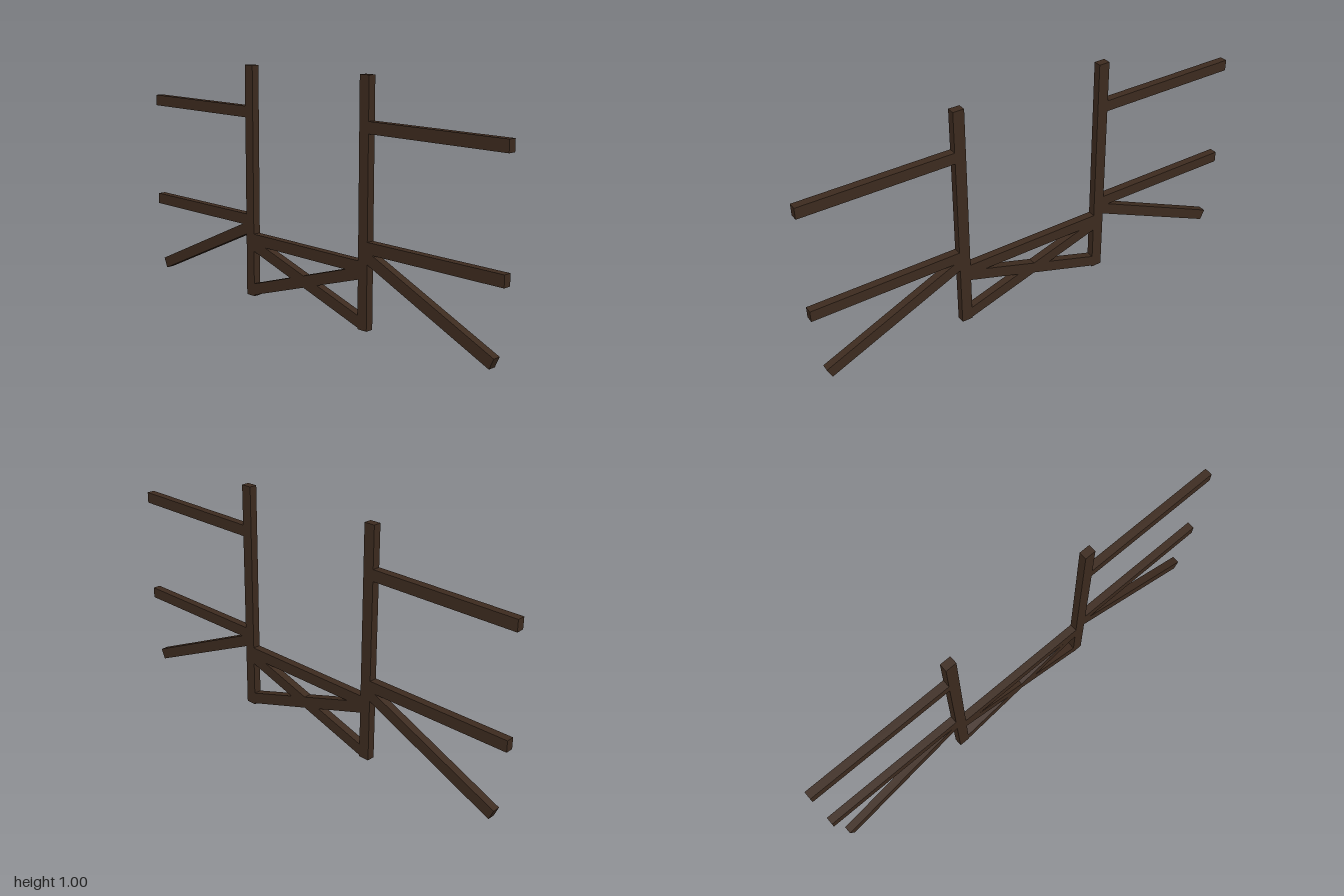
import * as THREE from 'three';

const WIDTH = 0.034; // beam thickness along x
const DEPTH = 0.048; // beam thickness in the frame plane

export function createModel() {
  const model = new THREE.Group();
  model.name = 'timberFrame';
  const wood = new THREE.MeshStandardMaterial({ color: 0x3d2b1f });

  // Square beam between two (z, y) points in the x = 0 plane
  function beam(name, z0, y0, z1, y1) {
    const dz = z1 - z0, dy = y1 - y0;
    const mesh = new THREE.Mesh(new THREE.BoxGeometry(WIDTH, DEPTH, Math.hypot(dz, dy)), wood);
    mesh.position.set(0, (y0 + y1) / 2, (z0 + z1) / 2);
    mesh.rotation.x = -Math.atan2(dy, dz);
    mesh.name = name;
    model.add(mesh);
  }

  for (const [side, s] of [['front', 1], ['back', -1]]) {
    beam(side + 'Post', s * 0.334, 0, s * 0.334, 1);
    beam(side + 'UpperRail', s * 0.334, 0.802, s, 0.802);
    beam(side + 'LowerRail', s * 0.334, 0.335, s, 0.335);
    beam(side + 'DiagonalStrut', s * 0.334, 0.307, s * 0.958, 0.027);
    // Half of the crossed bracing between the posts
    beam(side + 'CrossBrace', s * 0.325, 0.026, s * -0.325, 0.231);
  }

  // Horizontal bar joining the posts
  beam('crossBar', -0.334, 0.253, 0.334, 0.253);

  return model;
}
